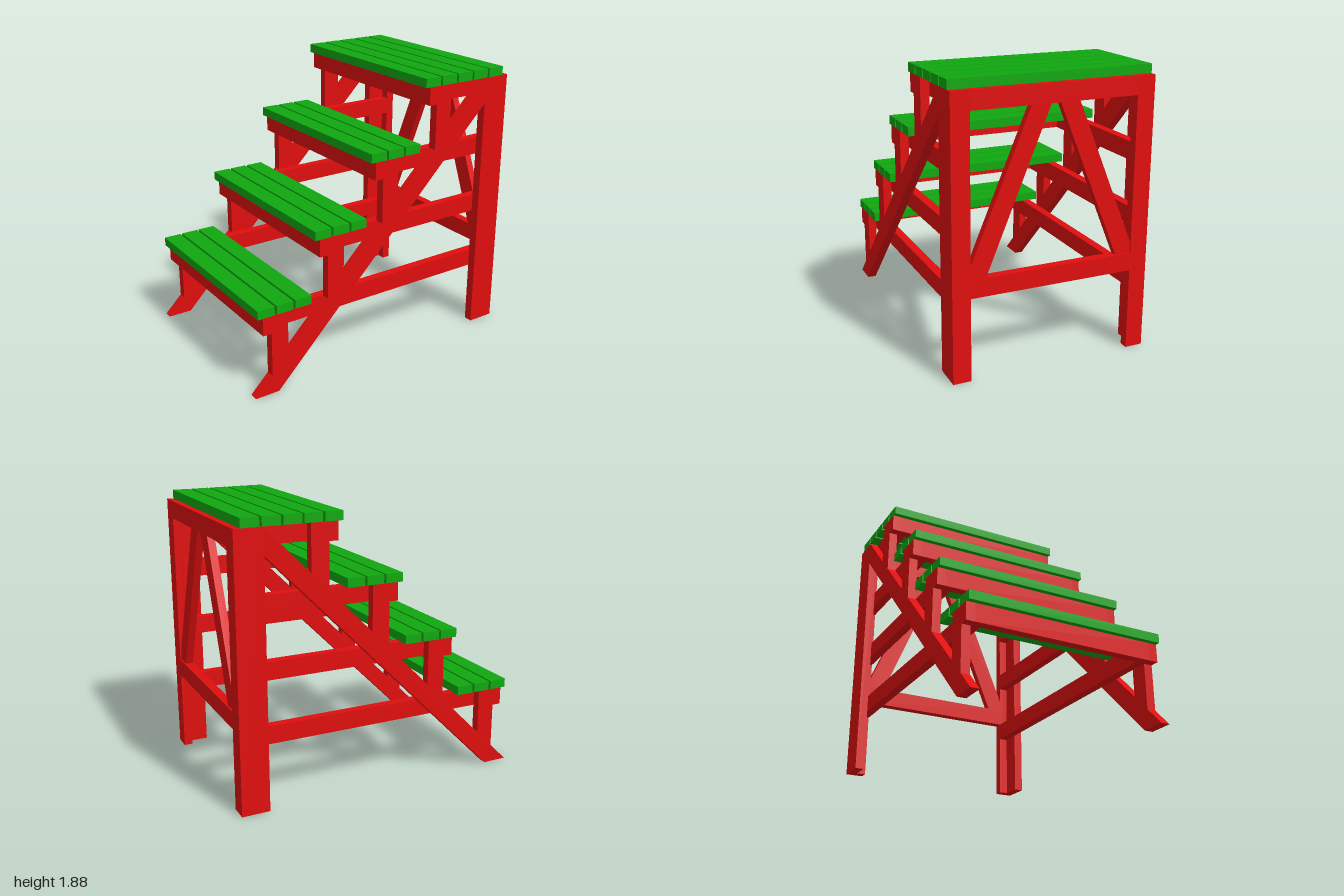
import * as THREE from 'three';

const red = new THREE.MeshStandardMaterial({ color: 0xe00e0e });
const green = new THREE.MeshStandardMaterial({ color: 0x10a810 });

const T = 0.06;        // board thickness
const OUT = 0.675;     // outer side face
const MID = OUT - T;   // between outer boards and inner rails
const IN = MID - T;    // inner side of the rails

export function createModel() {
  const model = new THREE.Group();

  // box given by its limits on each axis
  function box(name, mat, x0, x1, y0, y1, z0, z1) {
    const mesh = new THREE.Mesh(new THREE.BoxGeometry(x1 - x0, y1 - y0, z1 - z0), mat);
    mesh.position.set((x0 + x1) / 2, (y0 + y1) / 2, (z0 + z1) / 2);
    mesh.name = name;
    model.add(mesh);
  }

  // flat board cut to an outline
  function board(name, points, depth) {
    const shape = new THREE.Shape(points.map(p => new THREE.Vector2(p[0], p[1])));
    const mesh = new THREE.Mesh(new THREE.ExtrudeGeometry(shape, { depth, bevelEnabled: false }), red);
    mesh.name = name;
    model.add(mesh);
    return mesh;
  }

  // box on both sides, z0 < z1 measured on the +z side
  function boxPair(name, x0, x1, y0, y1, z0, z1) {
    box(name + 'Left', red, x0, x1, y0, y1, z0, z1);
    box(name + 'Right', red, x0, x1, y0, y1, -z1, -z0);
  }

  // outline in x and y used for the outer boards of both sides
  function boardPair(name, points) {
    board(name + 'Left', points, T).position.z = MID;
    board(name + 'Right', points, T).position.z = -OUT;
  }

  // angled corner posts made of two boards
  boxPair('postSide', 0.81, 1, 0, 1.82, MID, OUT);
  boxPair('postBack', 1 - T, 1, 0, 1.82, IN, MID);

  // sloping stringers
  boardPair('stringer', [[-1, 0], [-0.83, 0], [0.81, 1.645], [0.81, 1.815]]);

  // steps: brackets, rails, cross beam and slats
  for (let i = 0; i < 4; i++) {
    const s = -0.935 + i * 0.4217;
    const top = 0.55 + i * 0.4233;
    boardPair('stepBracket', [
      [s, top - 0.12], [s + 0.06, top - 0.12], [s + 0.06, s + 1.06],
      [s + 0.18, s + 1.18], [s + 0.18, top], [s, top],
    ]);
    boxPair('stepRail', s + T, 1 - T, top - 0.12, top, IN, MID);
    box('stepCrossBeam', red, s, s + T, top - 0.12, top, -MID, MID);
    const count = i === 3 ? 5 : 3;
    for (let k = 0; k < count; k++) {
      const x = s - 0.034 + k * 0.135;
      box('stepSlat', green, x, x + 0.12, top, top + 0.06, -OUT, OUT);
    }
  }

  // beams joining the tall posts
  box('topBeam', red, 1 - T, 1, 1.7, 1.82, -IN, IN);
  box('middleBeam', red, 1 - T, 1, 0.55, 0.67, -IN, IN);

  // leaning braces between the beams
  const brace = [[0.45, 0.67], [0.555, 0.67], [0.555, 0.745], [0.16, 1.7], [0.03, 1.7]];
  for (const side of [1, -1]) {
    const mesh = board('brace', brace.map(([z, y]) => [-side * z, y]), 0.05);
    mesh.rotation.y = Math.PI / 2;
    mesh.position.x = 1 - T;
  }

  return model;
}
